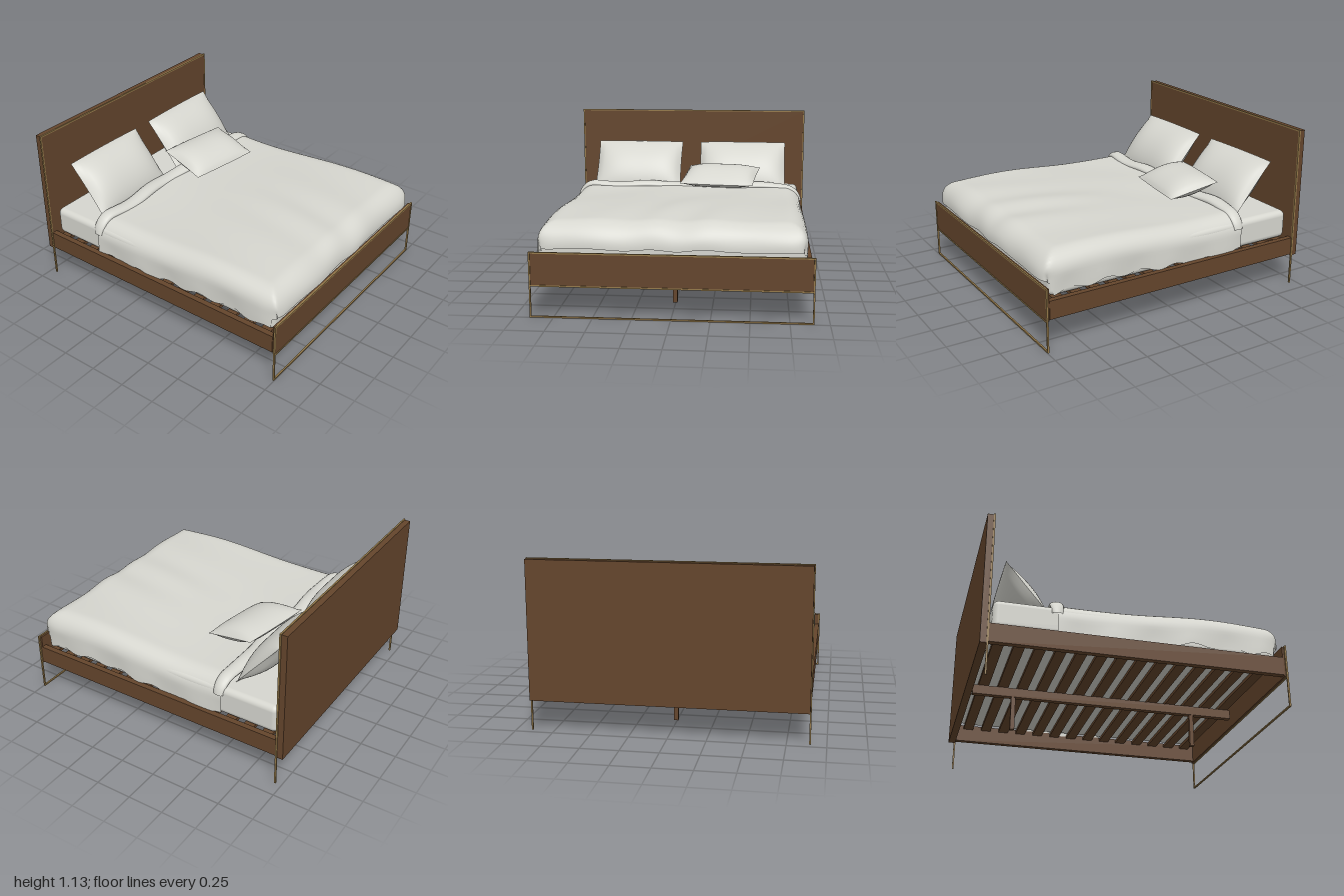
import * as THREE from 'three';
import { RoundedBoxGeometry } from 'three/addons/geometries/RoundedBoxGeometry.js';

export function createModel() {
  const bed = new THREE.Group();
  bed.name = 'bed';
  const material = (name, color, side = THREE.FrontSide) => {
    const m = new THREE.MeshStandardMaterial({ color, side });
    m.name = name;
    return m;
  };
  const wood = material('walnut', 0x64452c);
  const brass = material('brass', 0x94794a);
  const linen = material('linen', 0xd6d6cf, THREE.DoubleSide);

  const add = (name, geometry, mat, x = 0, y = 0, z = 0) => {
    const mesh = new THREE.Mesh(geometry, mat);
    mesh.name = name;
    mesh.position.set(x, y, z);
    bed.add(mesh);
    return mesh;
  };
  // Box given by its limits on each axis
  const box = (name, mat, x0, x1, y0, y1, z0, z1) =>
    add(name, new THREE.BoxGeometry(x1 - x0, y1 - y0, z1 - z0), mat,
      (x0 + x1) / 2, (y0 + y1) / 2, (z0 + z1) / 2);
  // Grid whose (u, v) in -1..1 is moved by a rule
  const sheet = (nu, nv, rule) => {
    const g = new THREE.PlaneGeometry(2, 2, nu, nv);
    const p = g.attributes.position;
    for (let i = 0; i < p.count; i++) p.setXYZ(i, ...rule(p.getX(i), p.getY(i)));
    g.computeVertexNormals();
    return g;
  };

  // Wooden panels, rails and slats
  box('headboard', wood, -0.895, 0.895, 0.21, 1.125, -1, -0.95);
  box('footboard', wood, -0.89, 0.89, 0.21, 0.425, 0.975, 0.997);
  for (const s of [-1, 1]) {
    const rail = box('sideRail', wood, -0.02, 0.02, 0.22, 0.345, -0.95, 0.975);
    rail.position.x = s * 0.875;
    box('centreLeg', wood, -0.015, 0.015, 0.015, 0.25, s * 0.65 - 0.015, s * 0.65 + 0.015);
  }
  box('centreBeam', wood, -0.02, 0.02, 0.25, 0.315, -0.935, 0.95);
  for (let i = 0; i < 14; i++) {
    const z = -0.86 + i * 0.135;
    box('slat', wood, -0.86, 0.86, 0.315, 0.338, z - 0.036, z + 0.036);
  }

  // Brass frames around the headboard and footboard
  for (const s of [-1, 1]) {
    const x0 = s * 0.896 - 0.005, x1 = s * 0.896 + 0.005;
    box('headPost', brass, x0, x1, 0, 1.13, -0.96, -0.948);
    box('footPost', brass, x0, x1, 0, 0.43, 0.988, 1);
  }
  box('headTopBar', brass, -0.9, 0.9, 1.12, 1.13, -0.96, -0.948);
  for (const y of [0, 0.205, 0.42]) box('footBar', brass, -0.9, 0.9, y, y + 0.01, 0.988, 1);

  // Mattress
  add('mattress', new RoundedBoxGeometry(1.7, 0.2, 1.875, 4, 0.04), linen, 0, 0.442, 0.0125);

  // Cloth path: flat, then a rounded bend, then straight down
  const drape = (s, flat, r) => {
    const a = Math.abs(s) - flat, sign = Math.sign(s);
    if (a <= 0) return { out: s, down: 0, angle: 0 };
    const angle = Math.min(a / r, Math.PI / 2);
    return {
      out: sign * (flat + r * Math.sin(angle)),
      down: r * (1 - Math.cos(angle)) + Math.max(0, a - r * Math.PI / 2),
      angle: sign * angle,
    };
  };
  const topHeight = (x, z) => {
    const foot = THREE.MathUtils.smoothstep(z, -0.1, 0.7);
    return 0.607 + 0.02 * Math.cos((z - 0.6) * Math.PI / 0.95)
      + 0.005 * Math.sin(7 * x + 3 * z) * Math.sin(4 * z + 2 * x)
      + 0.006 * foot * Math.sin(15 * x + 4 * z + Math.sin(5 * x));
  };

  // Duvet hanging over both sides and the foot
  add('duvet', sheet(90, 90, (u, v) => {
    const side = drape(u * 1.054, 0.73, 0.13);
    const t = THREE.MathUtils.mapLinear(v, 1, -1, -0.52, 1.086);
    const end = t > 0 ? drape(t, 0.84, 0.15) : { out: t, down: 0 };
    const hem = THREE.MathUtils.smoothstep(Math.abs(u), 0.85, 1);
    const wave = Math.sin(t * 24 + u) * 0.013 * hem;
    const down = Math.pow(side.down ** 5 + end.down ** 5, 0.2);
    const corner = 0.035 * Math.min(1, side.down / 0.13) * Math.min(1, end.down / 0.13);
    const x = side.out - Math.sign(u) * corner + 0.006 * hem * Math.sin(t * 13);
    const z = end.out - corner + 0.006 * Math.sin(u * 11) * Math.min(1, end.down / 0.1);
    const y = topHeight(side.out, end.out) - down + wave;
    return [x, z > 0.93 ? Math.max(y, 0.432) : y, z];
  }), linen);

  // Turned-back top edge of the duvet
  add('duvetFold', sheet(70, 18, (u, v) => {
    const d = drape(u * 0.9, 0.73, 0.12);
    const a = v * Math.PI, taper = 1 - 0.35 * Math.abs(u) ** 6;
    const lift = 0.03 * Math.sin(a) * taper;
    const z = -0.508 + 0.012 * Math.sin(u * 8) + 0.055 * Math.cos(a) * taper;
    const y = 0.588 + 0.006 * Math.sin(u * 13) - d.down;
    return [d.out + lift * Math.sin(d.angle), y + lift * Math.cos(d.angle), z];
  }), linen);

  // Pillows: two bulged sheets meeting at a seam
  const pillow = (name, w, h, thick, position, rotation) => {
    const group = new THREE.Group();
    group.name = name;
    for (const face of [-1, 1]) {
      const g = sheet(24, 24, (u, v) => {
        const bulge = Math.pow(1 - u ** 4, 0.7) * Math.pow(1 - v * v, 0.75);
        return [u * w / 2 * (1 - 0.015 * (1 - v * v)), v * h / 2 * (1 + 0.02 * (1 - u * u)), thick / 2 * bulge];
      });
      if (face < 0) g.rotateY(Math.PI);
      const mesh = new THREE.Mesh(g, linen);
      mesh.name = name + 'Side';
      group.add(mesh);
    }
    group.position.set(...position);
    group.rotation.set(...rotation);
    bed.add(group);
    return group;
  };
  for (const s of [-1, 1]) pillow('pillow', 0.675, 0.44, 0.17, [s * 0.409, 0.715, -0.705], [-0.7, 0, 0]);
  const cushion = pillow('cushion', 0.55, 0.37, 0.14, [0.25, 0.688, -0.41], [0, 0, 0]);
  cushion.rotation.set(-Math.PI / 2 + 0.22, -0.185, 0.03, 'YXZ');

  return bed;
}
